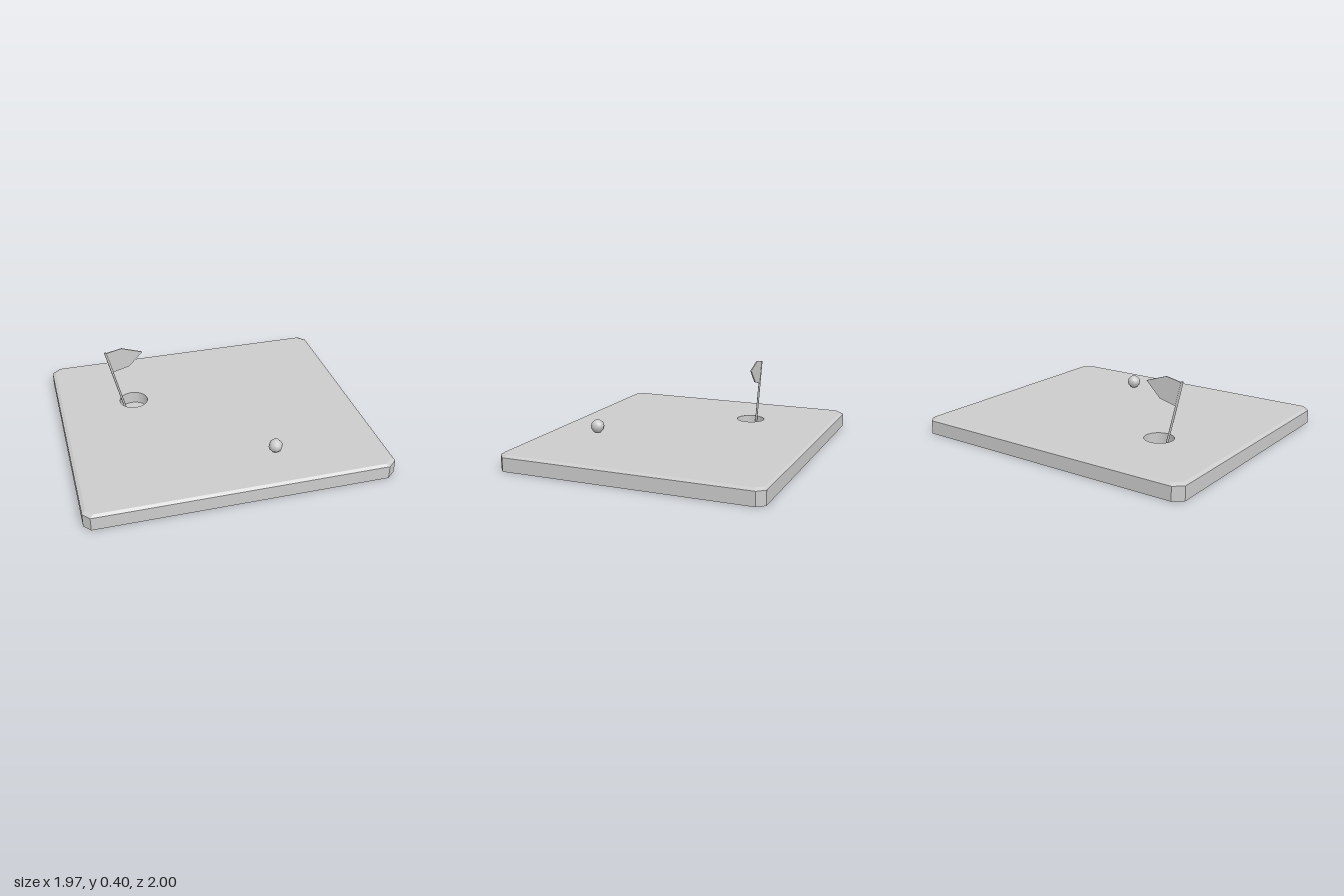
import * as THREE from 'three';

const HOLE = { x: -0.415, z: 0.14, r: 0.075, floor: 0.015 };
const TOP = 0.08;

export function createModel() {
  const model = new THREE.Group();
  const mat = (opts = {}) => new THREE.MeshStandardMaterial({ color: 0xcccccc, ...opts });
  const add = (name, geometry, material, parent = model) => {
    const mesh = new THREE.Mesh(geometry, material);
    mesh.name = name;
    parent.add(mesh);
    return mesh;
  };

  // Slab outline (x, z): a turned rectangle with clipped corners, half mirrored through the centre
  const half = [[-0.03, -1], [0.02, -1], [0.985, -0.18], [0.985, -0.12]];
  const outline = [...half, ...half.map(([x, z]) => [-x, -z])];
  const ring = (scale, y) => outline.map(([x, z]) => [x * scale, y, z * scale]);
  const inset = 0.978;
  const rings = [ring(1, 0), ring(1, 0.07), ring(inset, TOP)];

  // Slab sides and bevelled top edge
  const positions = [];
  for (let i = 0; i < rings.length - 1; i++) {
    outline.forEach((_, j) => {
      const k = (j + 1) % outline.length;
      const [a, b, c, d] = [rings[i][j], rings[i + 1][j], rings[i + 1][k], rings[i][k]];
      positions.push(...a, ...b, ...c, ...a, ...c, ...d);
    });
  }
  const sides = new THREE.BufferGeometry();
  sides.setAttribute('position', new THREE.Float32BufferAttribute(positions, 3));
  sides.computeVertexNormals();
  const slab = new THREE.Group();
  slab.name = 'slab';
  model.add(slab);
  add('slabSides', sides, mat({ flatShading: true }), slab);

  // Top surface with the hole, and plain underside
  const topShape = new THREE.Shape(outline.map(([x, z]) => new THREE.Vector2(x * inset, -z * inset)));
  topShape.holes.push(new THREE.Path().absarc(HOLE.x, -HOLE.z, HOLE.r, 0, Math.PI * 2, true));
  add('slabTop', new THREE.ShapeGeometry(topShape, 16).rotateX(-Math.PI / 2).translate(0, TOP, 0), mat(), slab);
  const underShape = new THREE.Shape(outline.map(([x, z]) => new THREE.Vector2(x, z)));
  add('slabUnderside', new THREE.ShapeGeometry(underShape).rotateX(Math.PI / 2), mat(), slab);

  // Cup lining the hole
  const cup = [[0, HOLE.floor], [HOLE.r, HOLE.floor], [HOLE.r, HOLE.floor], [HOLE.r, TOP]];
  add('holeCup', new THREE.LatheGeometry(cup.map(([r, y]) => new THREE.Vector2(r, y)), 32),
    mat({ side: THREE.DoubleSide }), slab).position.set(HOLE.x, 0, HOLE.z);

  // Leaning flagstick, in a plane parallel to the slab's long side
  const flagstick = new THREE.Group();
  flagstick.name = 'flagstick';
  flagstick.position.set(-0.515, 0, 0.235);
  flagstick.rotation.y = 0.88;
  model.add(flagstick);

  const foot = new THREE.Vector2(0.095, HOLE.floor);
  const tip = new THREE.Vector2(0.003, 0.388);
  const lean = tip.clone().sub(foot);
  const pole = add('pole', new THREE.CylinderGeometry(0.006, 0.006, lean.length(), 8), mat(), flagstick);
  pole.position.set((foot.x + tip.x) / 2, (foot.y + tip.y) / 2, 0);
  pole.rotation.z = Math.atan2(-lean.x, lean.y);

  // Pennant
  const pennant = [[0, 0.383], [0.09, 0.402], [0.2, 0.365], [0.125, 0.288], [0.03, 0.263]];
  const pennantShape = new THREE.Shape(pennant.map(([x, y]) => new THREE.Vector2(x, y)));
  add('pennant', new THREE.ExtrudeGeometry(pennantShape, { depth: 0.006, bevelEnabled: false }).translate(0, 0, -0.003),
    mat({ flatShading: true }), flagstick);

  // Ball
  add('ball', new THREE.SphereGeometry(0.036, 8, 6), mat()).position.set(0.464, 0.115, 0.102);

  return model;
}
